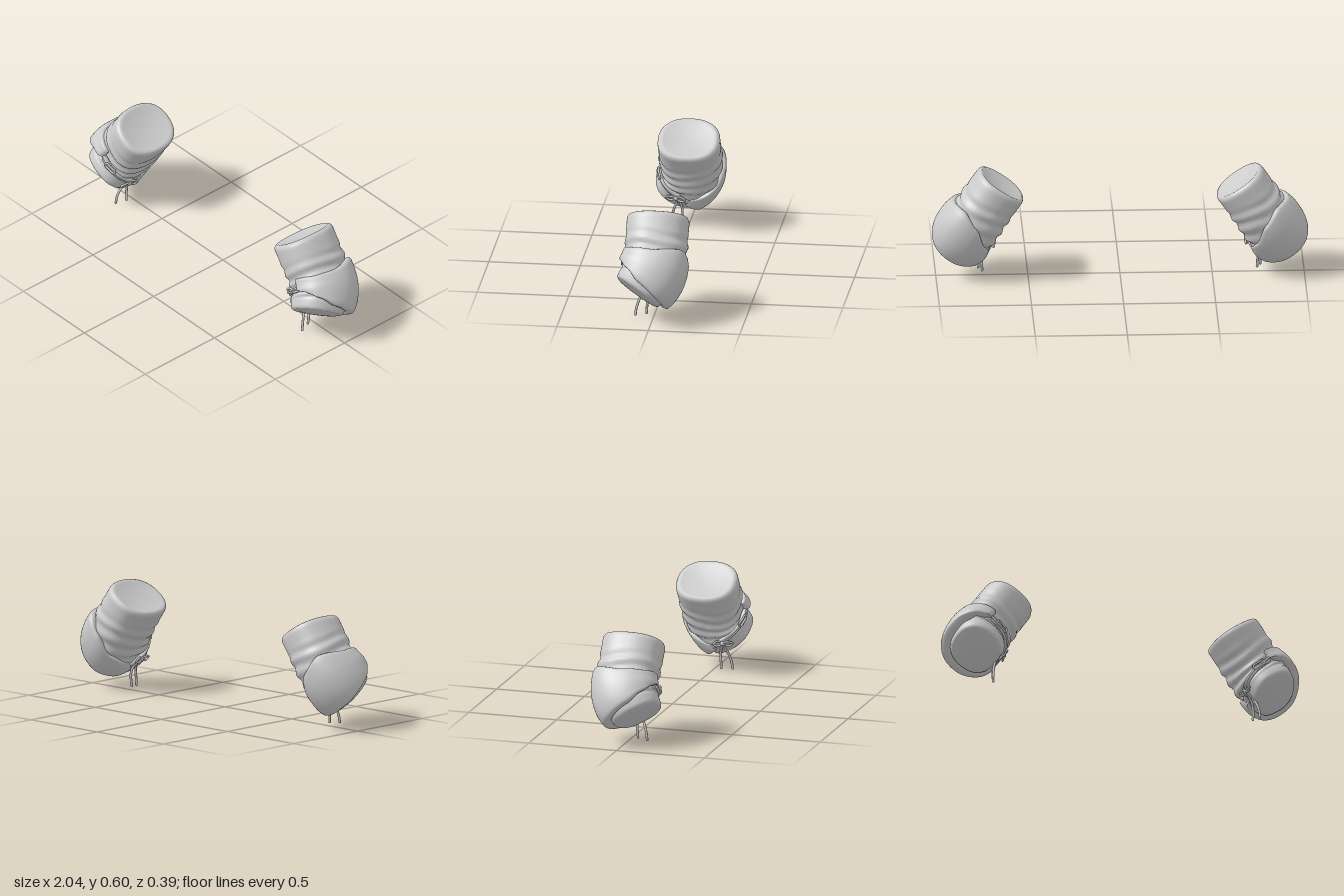
import * as THREE from 'three';

const V = (x, y, z) => new THREE.Vector3(x, y, z);
const material = new THREE.MeshStandardMaterial({ color: 0xcccccc });
const { lerp, smoothstep, degToRad } = THREE.MathUtils;

// Centre line of the slightly bent sleeve, from upper end to lower end
const path = new THREE.CatmullRomCurve3([
  V(0.64, 0.53, -0.01), V(0.71, 0.43, -0.01), V(0.775, 0.33, -0.01),
  V(0.825, 0.245, 0.02), V(0.86, 0.175, 0.075)]);
const startDir = V(0.56, -0.83, 0), endDir = V(0.44, -0.72, 0.54);

// Linear lookup in rows of [key, value, value, ...]
function lookup(rows, key, column) {
  let i = 0;
  while (i < rows.length - 2 && key > rows[i + 1][0]) i++;
  const a = rows[i], b = rows[i + 1];
  const f = smoothstep(key, a[0], b[0]) * 0.5 + 0.5 * THREE.MathUtils.clamp((key - a[0]) / (b[0] - a[0]), 0, 1);
  return lerp(a[column], b[column], f);
}

// Sleeve radii: [t, sideways, front to back]
const radii = [[0, 0.147, 0.17], [0.3, 0.147, 0.168], [0.6, 0.148, 0.16], [0.85, 0.14, 0.15], [1, 0.132, 0.14]];

// Point on the sleeve; angle 0 is the outer side, 90 the front, 180 the inner side
function sleevePoint(t, deg, offset = 0, scale = 1, push = 0) {
  const d = startDir.clone().lerp(endDir, smoothstep(t, 0.35, 1)).normalize();
  const u = V(0.83, 0.56, 0);
  u.addScaledVector(d, -u.dot(d)).normalize();
  const w = d.clone().cross(u);
  const c = Math.cos(degToRad(deg)), s = Math.sin(degToRad(deg));
  const k = Math.pow(Math.abs(c) ** 2.35 + Math.abs(s) ** 2.35, -1 / 2.35);
  return path.getPoint(t)
    .addScaledVector(u, (lookup(radii, t, 1) * k + offset) * c * scale)
    .addScaledVector(w, (lookup(radii, t, 2) * k + offset) * s * scale)
    .addScaledVector(d, push);
}

// Smooth grid surface; side -1 mirrors it and keeps the faces outward
function surface(name, rows, cols, closed, side, point) {
  const pos = [], index = [], n = closed ? cols : cols + 1;
  for (let i = 0; i <= rows; i++) for (let j = 0; j < n; j++) {
    const p = point(i, j / cols);
    pos.push(p.x * side, p.y, p.z);
  }
  for (let i = 0; i < rows; i++) for (let j = 0; j < cols; j++) {
    const a = i * n + j, b = i * n + (j + 1) % n, c = a + n, d = b + n;
    if (side > 0) index.push(a, b, c, b, d, c);
    else index.push(a, c, b, b, c, d);
  }
  const g = new THREE.BufferGeometry();
  g.setAttribute('position', new THREE.Float32BufferAttribute(pos, 3));
  g.setIndex(index);
  g.computeVertexNormals();
  const mesh = new THREE.Mesh(g, material);
  mesh.name = name;
  return mesh;
}

// Round cord through points, with rounded tips when open
function cord(name, points, radius, side, closed = false) {
  const pts = points.map(p => V(p.x * side, p.y, p.z));
  const group = new THREE.Group();
  group.name = name;
  const curve = new THREE.CatmullRomCurve3(pts, closed);
  group.add(new THREE.Mesh(new THREE.TubeGeometry(curve, 32, radius, 8, closed), material));
  if (!closed) for (const p of [pts[0], pts[pts.length - 1]]) {
    const tip = new THREE.Mesh(new THREE.SphereGeometry(radius, 8, 6), material);
    tip.position.copy(p);
    group.add(tip);
  }
  return group;
}

// Closed sleeve with rounded, slightly dished ends and soft folds
function makeSleeve(side) {
  const rings = [[0, 0, 0.016], [0, 0.45, 0.014], [0, 0.8, 0.004], [0, 0.88, 0], [0, 0.95, 0.005], [0, 0.99, 0.016]];
  for (let i = 2; i <= 34; i++) rings.push([i / 36, 1, 0]);
  rings.push([1, 1, -0.008], [1, 0.97, 0.002], [1, 0.9, 0.008], [1, 0.6, 0.012], [1, 0, 0.014]);
  return surface('sleeve', rings.length - 1, 64, true, side, (i, v) => {
    const [t, scale, push] = rings[i], deg = v * 360;
    const folds = smoothstep(t, 0.15, 0.35) * (1 - smoothstep(t, 0.75, 0.9));
    const fold = 0.006 * folds * Math.sin(t * 42 + 1.5 * Math.sin(degToRad(deg) * 2));
    return sleevePoint(t, deg, fold, scale, push);
  });
}

// Elbow pad outline: [angle, upper edge, lower edge, bulge]
const outline = [[-172, 0.78, 0.88, 0.018], [-130, 0.64, 0.96, 0.03], [-90, 0.5, 0.98, 0.048],
  [-50, 0.42, 0.98, 0.052], [0, 0.46, 0.94, 0.05], [35, 0.44, 0.84, 0.042], [62, 0.41, 0.7, 0.032], [84, 0.41, 0.61, 0.025]];

function makePad(side) {
  // Cross-section from upper edge over the outside and back inside: [along, bulge share]
  const section = [[0.02, -0.3], [0, 0.2], [0.015, 0.45], [0.06, 0.56]];
  for (let i = 1; i <= 12; i++) section.push([0.06 + i * 0.07, 0.56 + 0.44 * Math.sin(i / 13 * Math.PI * 0.62)]);
  section.push([0.95, 0.98], [0.985, 0.9], [1, 0.6], [0.985, 0.2], [0.93, -0.3], [0.5, -0.3], [0.02, -0.3]);
  return surface('elbowPad', section.length - 1, 72, false, side, (i, v) => {
    const deg = lerp(-172, 84, v);
    const [along, share] = section[i];
    const taper = Math.sqrt(Math.min(1, Math.min(v, 1 - v) * 40));
    const round = 0.12 * (1 - taper);
    const t = lerp(lookup(outline, deg, 1), lookup(outline, deg, 2), lerp(along, 0.5, round * 2));
    return sleevePoint(t, deg, share > 0 ? lookup(outline, deg, 3) * share * taper : -0.012);
  });
}

// Narrow strap joining the two pad ends across the inner front
function makeStrap(side) {
  const section = [[-1, -0.008], [-1, 0.009], [-0.7, 0.014], [0.7, 0.014], [1, 0.009], [1, -0.008], [-1, -0.008]];
  return surface('strap', 6, 32, false, side, (i, v) =>
    sleevePoint(lerp(0.56, 0.82, v) + section[i][0] * 0.032, lerp(76, 192, v), section[i][1]));
}

function makePadSet(side) {
  const group = new THREE.Group();
  group.name = side > 0 ? 'leftElbowGuard' : 'rightElbowGuard';
  group.add(makeSleeve(side), makePad(side), makeStrap(side));

  // Buckle frame
  const corners = [[0.57, 98], [0.57, 108], [0.57, 118], [0.62, 120], [0.68, 118], [0.68, 108], [0.68, 98], [0.62, 96]];
  group.add(cord('buckle', corners.map(([t, a]) => sleevePoint(t, a, 0.017)), 0.006, side, true));

  // Lace around the lower sleeve, from the front flap to the knot
  const lace = [];
  for (let i = 0; i <= 8; i++) lace.push(sleevePoint(lerp(0.66, 0.82, i / 8), lerp(84, 176, i / 8), 0.006));
  group.add(cord('lace', lace, 0.007, side));

  // Knot, bow loops and hanging ends
  const k = sleevePoint(0.8, 165, 0.012);
  const knot = new THREE.Mesh(new THREE.SphereGeometry(0.015, 14, 10), material);
  knot.name = 'knot';
  knot.position.set(k.x * side, k.y, k.z);
  group.add(knot);
  const at = (x, y, z) => V(k.x + x, k.y + y, k.z + z);
  group.add(
    cord('frontLoop', [k, at(-0.01, 0.012, 0.03), at(0.0, 0.005, 0.055), at(0.005, -0.012, 0.035)], 0.006, side, true),
    cord('backLoop', [k, at(-0.014, 0.01, -0.03), at(-0.012, -0.008, -0.05), at(-0.006, -0.016, -0.025)], 0.006, side, true),
    cord('frontLaceEnd', [k, V(0.738, 0.125, 0.068), V(0.757, 0.08, 0.085), V(0.764, 0.04, 0.096), V(0.766, 0.008, 0.1)], 0.007, side),
    cord('backLaceEnd', [k, V(0.735, 0.12, 0.045), V(0.748, 0.08, 0.038), V(0.748, 0.04, 0.04), V(0.746, 0.012, 0.042)], 0.007, side));
  return group;
}

export function createModel() {
  const model = new THREE.Group();
  model.name = 'elbowGuards';
  model.add(makePadSet(1), makePadSet(-1));
  return model;
}
